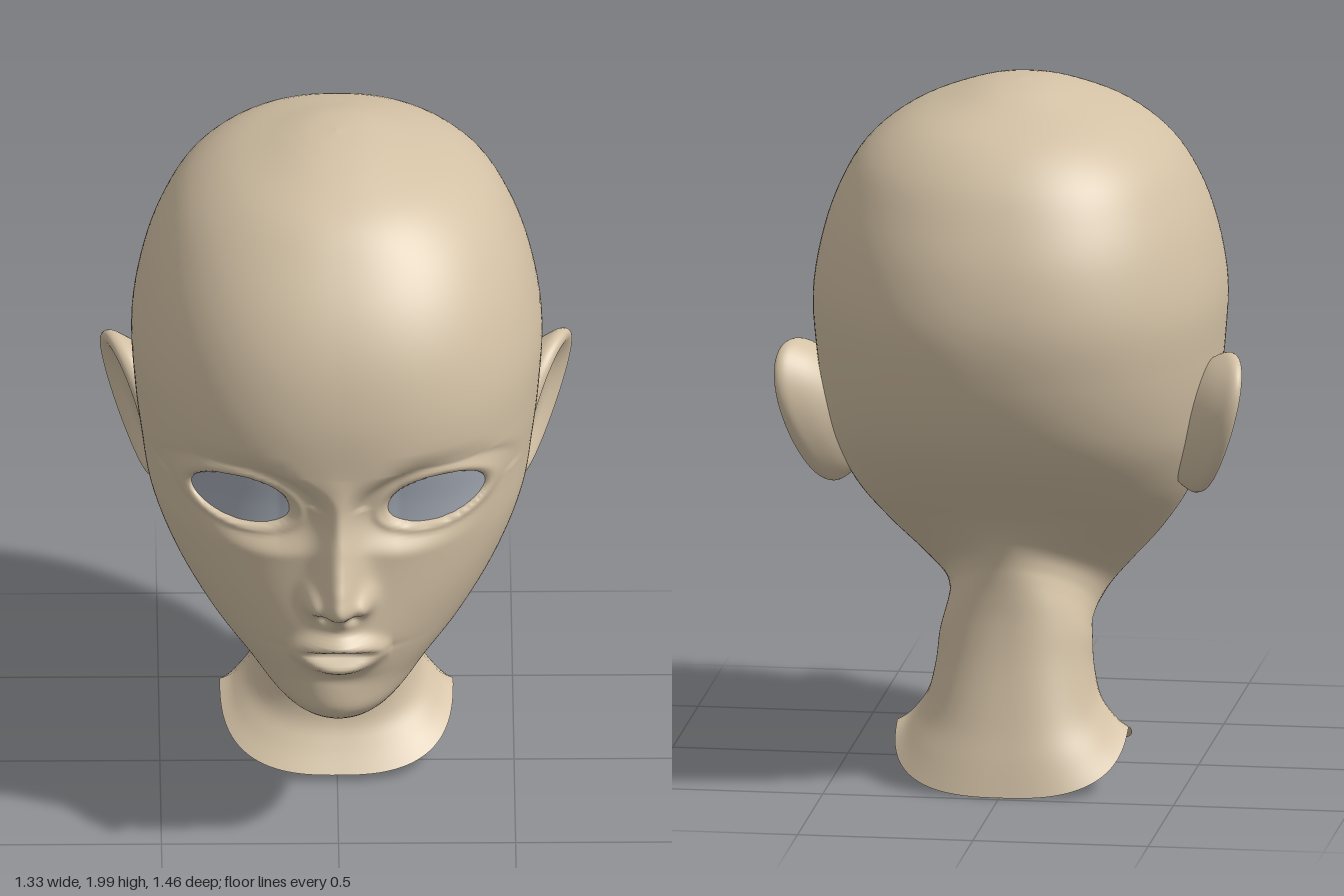
import * as THREE from 'three';

// Crown rings: height, front z, back z, half width
const crown = [
  [2.0, -.05, -.05, 0], [1.99, .08, -.18, .09], [1.96, .2, -.29, .19], [1.9, .33, -.46, .33],
  [1.81, .43, -.57, .44], [1.69, .525, -.645, .51], [1.555, .59, -.7, .555],
  [1.4, .622, -.725, .58], [1.24, .622, -.705, .572], [1.1, .605, -.66, .555],
];
// Tilted jaw and neck rings: front y, front z, back y, back z, half width, side y, side z
const jaw = [
  [.95, .6, .99, -.595, .53, .96, 0],
  [.8, .6, .88, -.5, .47, .81, .03],
  [.65, .585, .8, -.425, .385, .68, .08],
  [.54, .575, .74, -.385, .295, .575, .12],
  [.46, .565, .7, -.37, .235, .505, .13],
  [.41, .48, .66, -.362, .21, .47, .06],
  [.43, .3, .62, -.36, .205, .45, -.02],
  [.455, .14, .56, -.36, .208, .43, -.1],
  [.4, .06, .48, -.365, .215, .4, -.14],
  [.28, .035, .36, -.385, .222, .33, -.16],
  [.16, .035, .2, -.425, .245, .25, -.18],
  [.09, .075, .1, -.455, .29, .19, -.19],
  [.03, .13, .01, -.48, .33, .165, -.2],
];
const rings = crown.map(([y, f, b, w]) => [y, f, y, b, w, y, (f + b) / 2]).concat(jaw);
const noseProfile = [0, .008, .02, .035, .052, .072, .097, .122, .13, .06, .015, 0];

const { clamp, smoothstep, lerp } = THREE.MathUtils;
const bell = (v, s) => Math.exp(-((v / s) ** 2));

// Catmull-Rom value of get(i) for i in 0..last
function spline(get, last, t) {
  t = clamp(t, 0, last);
  const i = Math.min(Math.floor(t), last - 1), f = t - i;
  const a = get(Math.max(i - 1, 0)), b = get(i), c = get(i + 1), d = get(Math.min(i + 2, last));
  return b + .5 * f * (c - a + f * (2 * a - 5 * b + 4 * c - d + f * (3 * (b - c) + d - a)));
}

// Point on the plain head and neck: ring parameter t, angle from the front
function skullPoint(t, angle) {
  const [yf, zf, yb, zb, w, ys, zs] = rings[0].map((_, k) => spline((i) => rings[i][k], rings.length - 1, t));
  const n = t < 14 ? lerp(2.25, 2, smoothstep(t, 9, 14)) : lerp(2, 2.7, smoothstep(t, 15, 22));
  const s = Math.sin(angle), c = Math.cos(angle);
  const sx = Math.sign(s) * Math.abs(s) ** (2 / n), cz = Math.abs(c) ** (2 / n);
  return new THREE.Vector3(
    Math.max(w, 0) * sx,
    lerp(ys, c > 0 ? yf : yb, cz),
    lerp(zs, c > 0 ? zf : zb, cz),
  );
}

// Almond eye field: 1 on the lid line
function eyeField(x, y) {
  const dx = Math.abs(x) - .277, dy = y - 1.117, a = .15;
  const u = dx * Math.cos(a) + dy * Math.sin(a), v = dy * Math.cos(a) - dx * Math.sin(a);
  return Math.hypot(u / .138, v / (v > 0 ? .08 : .066));
}
const eyeInset = (x) => clamp(.05 * (.43 - Math.abs(x)) / .26, 0, .05);

// Facial relief
function sculpt(p) {
  if (p.z < .2) return p;
  const { x, y } = p, ax = Math.abs(x);
  let z = 0;
  // nose bridge, wings and nostrils
  const height = spline((i) => noseProfile[i], noseProfile.length - 1, (1.25 - y) / .05);
  z += height * bell(x, lerp(.045, .06, smoothstep(1.1 - y, 0, .22)));
  z += .05 * bell(ax - .073, .028) * bell(y - .85, .04);
  z -= .025 * bell(ax - .04, .02) * bell(y - .803, .016);
  // mouth
  const f = Math.max(0, 1 - (x / .15) ** 2);
  z += .025 * bell(x, .16) * bell(y - .7, .1);
  z += .055 * f * bell(y - .677 - .038 * f, .026);
  z += .047 * f * bell(y - .677 + .042 * f, .028);
  z -= .014 * bell(x, .12) * bell(y - .677, .01);
  z -= .01 * bell(x, .1) * bell(y - .57, .03);
  // eye sockets and lids
  const d = eyeField(x, y);
  z -= eyeInset(x) * (1 - smoothstep(d, 1, 2.2));
  z -= .05 * (1 - smoothstep(d, .85, 1.08));
  z += .01 * bell(d - 1.22, .13);
  if (y > 1.12) z -= .008 * bell(d - 1.6, .15);
  p.z += z;
  return p;
}

// Grid surface closed around u; keep() may drop points
function surface(point, nu, levels, keep = () => true) {
  const pos = [], ok = [], index = [];
  for (const v of levels) {
    for (let i = 0; i < nu; i++) {
      const p = point(i / nu, v);
      pos.push(p.x, p.y, p.z);
      ok.push(keep(p));
    }
  }
  for (let j = 0; j < levels.length - 1; j++) {
    for (let i = 0; i < nu; i++) {
      const k = (i + 1) % nu;
      const a = j * nu + i, b = j * nu + k, c = a + nu, d = b + nu;
      if (ok[a] && ok[b] && ok[c] && ok[d]) index.push(a, c, d, a, d, b);
    }
  }
  const g = new THREE.BufferGeometry();
  g.setAttribute('position', new THREE.Float32BufferAttribute(pos, 3));
  g.setIndex(index);
  g.computeVertexNormals();
  return g;
}

// Angles are packed closer together on the face
const packed = (u) => 2 * Math.PI * u - .6 * Math.sin(2 * Math.PI * u);

// Ear cross-section from bowl over rim to back: radius, height
const earProfile = [[0, .01], [.3, .01], [.55, .014], [.72, .032], [.86, .046], [.96, .04], [1, .02], [.96, -.005], [.8, -.05], [.5, -.1]];

function earPoint(side, u, t) {
  const a = 2 * Math.PI * u * side, last = earProfile.length - 1;
  const r = spline((i) => earProfile[i][0], last, t), h = spline((i) => earProfile[i][1], last, t);
  const s = Math.sin(a);
  const y = 1.05 + .21 * r * s;
  const z = -.185 - r * (.03 * s + .145 * (1 + .15 * s) * Math.cos(a));
  const x = .55 + (y - 1.05) * .22 - (z + .19) * .35 + h;
  return new THREE.Vector3(side * x, y, z);
}

export function createModel() {
  const skin = new THREE.MeshStandardMaterial({ color: 0xd3c1a5, side: THREE.DoubleSide });
  skin.name = 'skin';
  const eyeGrey = new THREE.MeshStandardMaterial({ color: 0xa7adb8 });
  eyeGrey.name = 'eye grey';

  const model = new THREE.Group();
  model.name = 'head';
  const add = (name, geometry, material) => {
    const mesh = new THREE.Mesh(geometry, material);
    mesh.name = name;
    model.add(mesh);
  };

  // Head and open neck in one skin, finer over the face
  const levels = [];
  for (let i = 0; i < rings.length - 1; i++) {
    const steps = i >= 8 && i < 13 ? 16 : 5;
    for (let k = 0; k < steps; k++) levels.push(i + k / steps);
  }
  levels.push(rings.length - 1);
  add('headAndNeck', surface((u, t) => sculpt(skullPoint(t, packed(u))), 240, levels), skin);

  // Eyes follow the face just behind the lids
  const eyeLevels = Array.from({ length: 41 }, (_, i) => 8 + i * .05);
  const eyes = surface((u, t) => {
    const p = skullPoint(t, packed(u));
    p.z -= eyeInset(p.x) + .012;
    return p;
  }, 240, eyeLevels, (p) => p.z > .2 && eyeField(p.x, p.y) < 1.16);
  add('eyes', eyes, eyeGrey);

  // Ears
  const earLevels = Array.from({ length: 37 }, (_, i) => i / 4);
  for (const [name, side] of [['leftEar', 1], ['rightEar', -1]]) {
    add(name, surface((u, t) => earPoint(side, u, t), 48, earLevels), skin);
  }
  return model;
}
